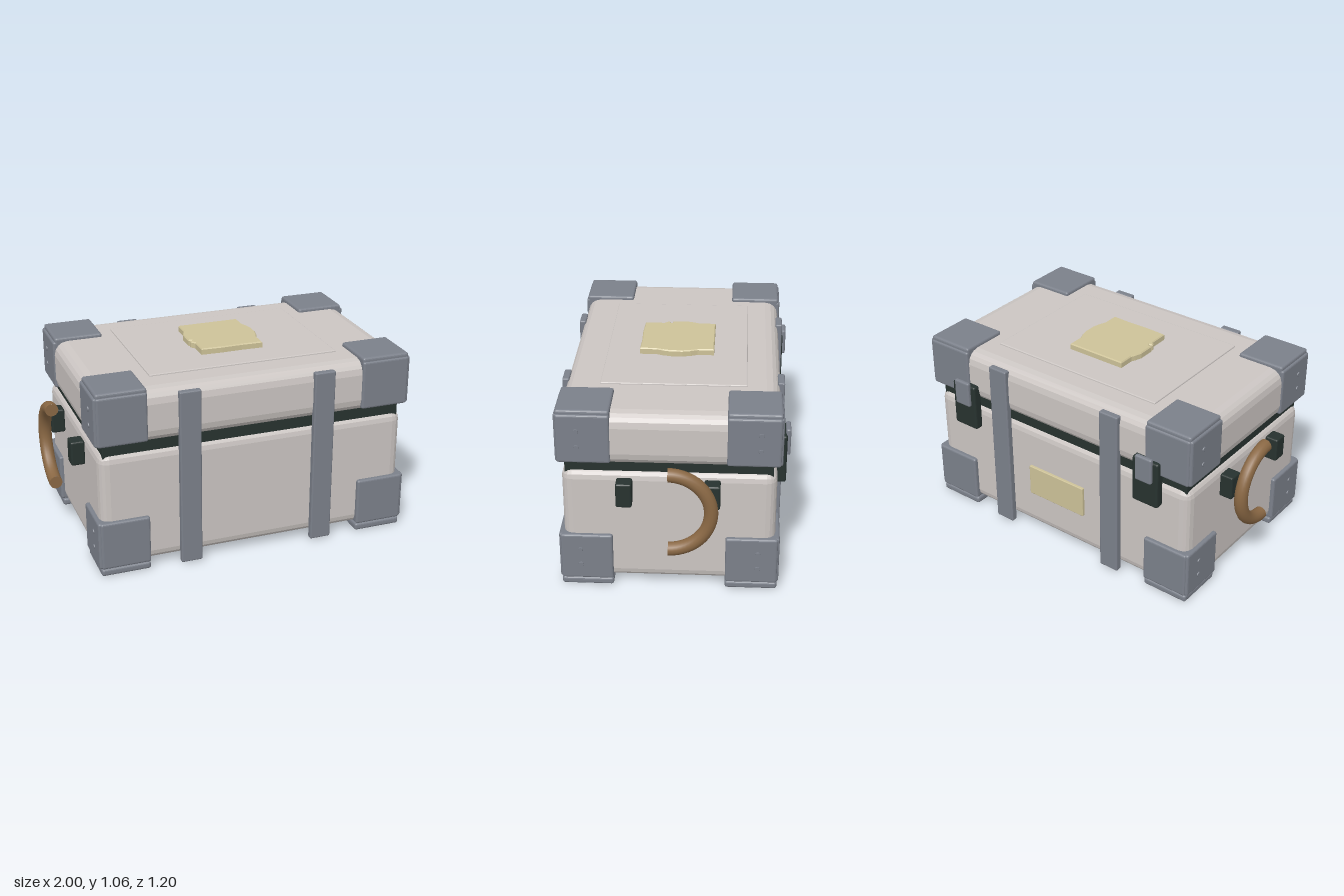
import * as THREE from 'three';
import { RoundedBoxGeometry } from 'three/addons/geometries/RoundedBoxGeometry.js';

const paint = (name, color) => Object.assign(new THREE.MeshStandardMaterial({ color }), { name });

export function createModel() {
  const shell = paint('paleShell', 0xcbc5c2);
  const steel = paint('greySteel', 0x7b808a);
  const dark = paint('darkRubber', 0x27322f);
  const tan = paint('paleBrass', 0xcdc298);
  const leather = paint('brownLeather', 0x8a6844);

  const chest = new THREE.Group();
  chest.name = 'chest';

  const add = (name, geometry, material, parent = chest) => {
    const mesh = new THREE.Mesh(geometry, material);
    mesh.name = name;
    parent.add(mesh);
    return mesh;
  };

  // Bevelled box given by its ranges along x, y and z
  const block = (name, material, [x0, x1], [y0, y1], [z0, z1], radius, parent) => {
    const geometry = new RoundedBoxGeometry(x1 - x0, y1 - y0, z1 - z0, 2, radius);
    geometry.computeVertexNormals(); // faceted bevels
    geometry.translate((x0 + x1) / 2, (y0 + y1) / 2, (z0 + z1) / 2);
    return add(name, geometry, material, parent);
  };
  // Mirrors a range to the negative side
  const flip = ([a, b], s) => (s > 0 ? [a, b] : [-b, -a]);

  // Main shells, dark seam and raised lid panel
  block('body', shell, [-0.855, 0.855], [0.042, 0.69], [-0.532, 0.565], 0.055);
  block('seam', dark, [-0.832, 0.832], [0.66, 0.74], [-0.512, 0.547], 0.005);
  block('lid', shell, [-0.87, 0.87], [0.72, 1.013], [-0.544, 0.577], 0.075);
  block('lidPanel', shell, [-0.525, 0.525], [1.0, 1.022], [-0.37, 0.388], 0.006);

  // Corner guards: a front, a side and a cap plate at each of the eight corners
  const zMid = 0.0165;
  for (const sx of [1, -1]) {
    for (const sz of [1, -1]) {
      for (const top of [true, false]) {
        const guard = new THREE.Group();
        guard.name = top ? 'lidCornerGuard' : 'bodyCornerGuard';
        chest.add(guard);
        const z = (range) => flip(range, sz).map((v) => v + zMid);
        const y = top ? [0.743, 1.012] : [0.045, 0.312];
        const cap = top ? [0.985, 1.033] : [0, 0.04];
        block('facePlate', steel, flip([0.597, 0.865], sx), y, z([0.515, 0.572]), 0.012, guard);
        block('sidePlate', steel, flip([0.82, 0.877], sx), y, z([0.292, 0.563]), 0.012, guard);
        block('capPlate', steel, flip([0.597, 0.866], sx), cap, z([0.292, 0.564]), 0.013, guard);
        // Vertical rib closing the edge between the plates
        block('edgeRib', steel, flip([0.82, 0.868], sx), y, z([0.51, 0.565]), 0.012, guard);
        for (const dy of [-0.045, 0.045]) {
          const rivet = add('rivet', new THREE.CylinderGeometry(0.012, 0.014, 0.006, 10), steel, guard);
          rivet.rotation.z = -sx * Math.PI / 2;
          rivet.position.set(sx * 0.879, (y[0] + y[1]) / 2 + dy, zMid + sz * 0.46);
        }
      }
    }
  }

  for (const s of [1, -1]) {
    // Vertical straps
    const strapX = flip([0.315, 0.432], s);
    block('frontStrap', steel, strapX, [0.01, 0.992], [0.562, 0.599], 0.008);
    block('backStrap', steel, strapX, [0.01, 0.992], [-0.566, -0.529], 0.008);

    // Rear clasps
    block('claspBase', dark, flip([0.537, 0.697], s), [0.553, 0.822], [-0.58, -0.528], 0.012);
    block('claspLever', steel, flip([0.565, 0.667], s), [0.698, 0.847], [-0.598, -0.572], 0.01);

    // Handle brackets
    for (const z of [[0.2, 0.282], [-0.246, -0.164]]) {
      block('handleBracket', dark, flip([0.856, 0.932], s), [0.52, 0.655], z, 0.01);
    }

    // Half-ring handle, bulging backwards, with closed ends
    const handle = new THREE.Group();
    handle.name = 'handle';
    handle.position.set(s * 0.965, 0.522, 0.015);
    chest.add(handle);
    const ring = new THREE.TorusGeometry(0.217, 0.036, 14, 28, Math.PI);
    ring.rotateZ(-Math.PI / 2).rotateY(Math.PI / 2);
    add('handleGrip', ring, leather, handle);
    for (const e of [1, -1]) {
      add('handleEnd', new THREE.CircleGeometry(0.036, 14), leather, handle).position.y = e * 0.217;
    }
  }

  // Plain label plate on the back
  block('backLabel', tan, [-0.186, 0.186], [0.26, 0.44], [-0.548, -0.525], 0.004);

  // Ragged parchment-like plaque on the lid, outlined as x and z
  const outline = [
    [-0.175, -0.187], [0.168, -0.187], [0.168, -0.1], [0.182, -0.065], [0.192, -0.02],
    [0.192, 0.04], [0.182, 0.085], [0.168, 0.12], [0.168, 0.209], [0.05, 0.205],
    [-0.06, 0.208], [-0.175, 0.203], [-0.175, 0.1], [-0.192, 0.08], [-0.194, 0.068],
    [-0.175, 0.064], [-0.178, 0.052], [-0.197, 0.05], [-0.197, -0.04], [-0.186, -0.075],
    [-0.175, -0.1],
  ];
  const shape = new THREE.Shape(outline.map(([x, z]) => new THREE.Vector2(x, -z)));
  const plaque = new THREE.ExtrudeGeometry(shape, {
    depth: 0.036, bevelThickness: 0.006, bevelSize: 0.005, bevelOffset: -0.003, bevelSegments: 1,
  });
  plaque.rotateX(-Math.PI / 2).translate(0, 1.014, 0);
  add('lidPlaque', plaque, tan);

  return chest;
}
